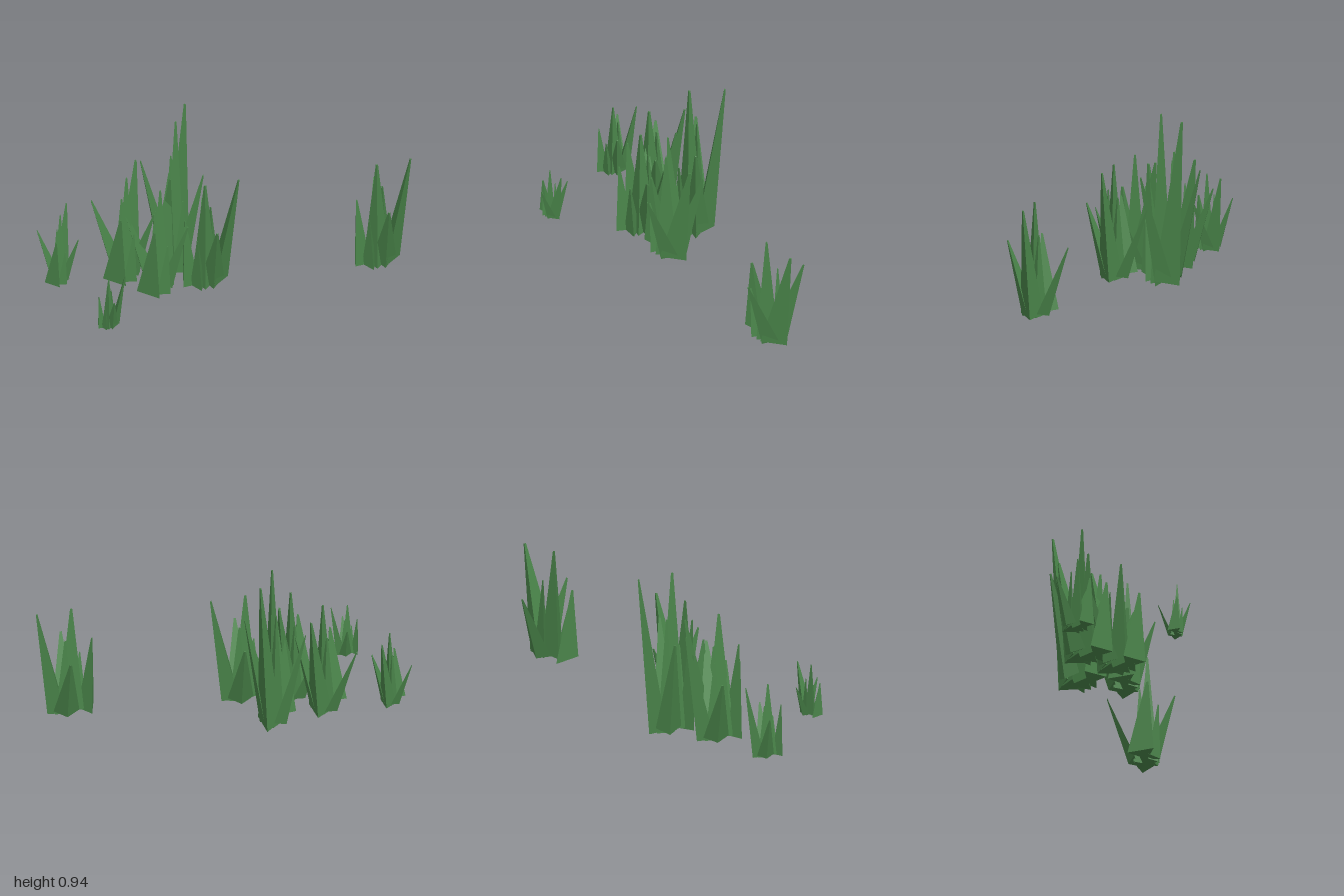
import * as THREE from 'three';
import { ConvexGeometry } from 'three/addons/geometries/ConvexGeometry.js';

// Each blade: tip, then the three corners of its base
const BLADES = [
  [[0.155, 0.655, -0.03], [0.10, 0.04, -0.045], [0.0, 0.05, 0.06], [0.01, 0.06, -0.08]],
  [[-0.035, 0.66, -0.005], [-0.045, 0.035, 0.055], [-0.10, 0.05, -0.04], [0.04, 0.05, -0.03]],
  [[0, 0.44, 0.14], [-0.06, 0.07, -0.01], [0.07, 0.07, -0.01], [0, 0.03, 0.05]],
  [[0, 0.44, -0.225], [-0.07, 0.07, -0.07], [0.07, 0.07, -0.07], [0, 0.05, -0.11]],
  [[-0.15, 0.46, 0.01], [-0.165, 0.06, 0.045], [-0.135, 0.055, -0.10], [-0.07, 0.04, 0]],
  [[0.005, 0.49, -0.05], [-0.03, 0.05, -0.08], [0.06, 0.045, -0.06], [0.02, 0.05, 0]],
  [[-0.09, 0.35, 0.06], [-0.12, 0.05, 0.01], [-0.04, 0.05, 0], [-0.07, 0.04, 0.07]],
];

// Each tuft: x, z, turn in degrees, width scale, height scale, lift
const TUFTS = [
  [0.84, 0, 0, 1, 1, 0],
  [-0.105, 0, 0, 1, 1, 0],
  [-0.729, 0.334, 0, 0.475, 0.475, 0.04],
  [-0.361, -0.036, 55, 1, 1, 0],
  [-0.511, -0.196, 55, 1, 1, 0],
  [-0.226, -0.261, 55, 1, 1.49, -0.044],
  [-0.88, -0.203, 55, 0.66, 0.67, 0.022],
];

// Three-sided blade tapering to a narrow blunt tip
function bladeGeometry([tip, ...base]) {
  const corners = base.map((p) => new THREE.Vector3(...p));
  const center = new THREE.Vector3();
  corners.forEach((c) => center.addScaledVector(c, 1 / 3));
  const top = new THREE.Vector3(...tip);
  const tipCorners = corners.map((c) => c.clone().sub(center).multiplyScalar(0.09).add(top));
  return new ConvexGeometry([...corners, ...tipCorners]);
}

export function createModel() {
  const model = new THREE.Group();
  model.name = 'grassTufts';
  const green = new THREE.MeshStandardMaterial({ color: 0x4a854a, flatShading: true });
  const geometries = BLADES.map(bladeGeometry);

  for (const [x, z, turn, width, height, lift] of TUFTS) {
    const tuft = new THREE.Group();
    tuft.name = 'grassTuft';
    for (const geometry of geometries) {
      const blade = new THREE.Mesh(geometry, green);
      blade.name = 'grassBlade';
      tuft.add(blade);
    }
    tuft.position.set(x, lift, z);
    tuft.rotation.y = THREE.MathUtils.degToRad(turn);
    tuft.scale.set(width, height, width);
    model.add(tuft);
  }
  return model;
}
